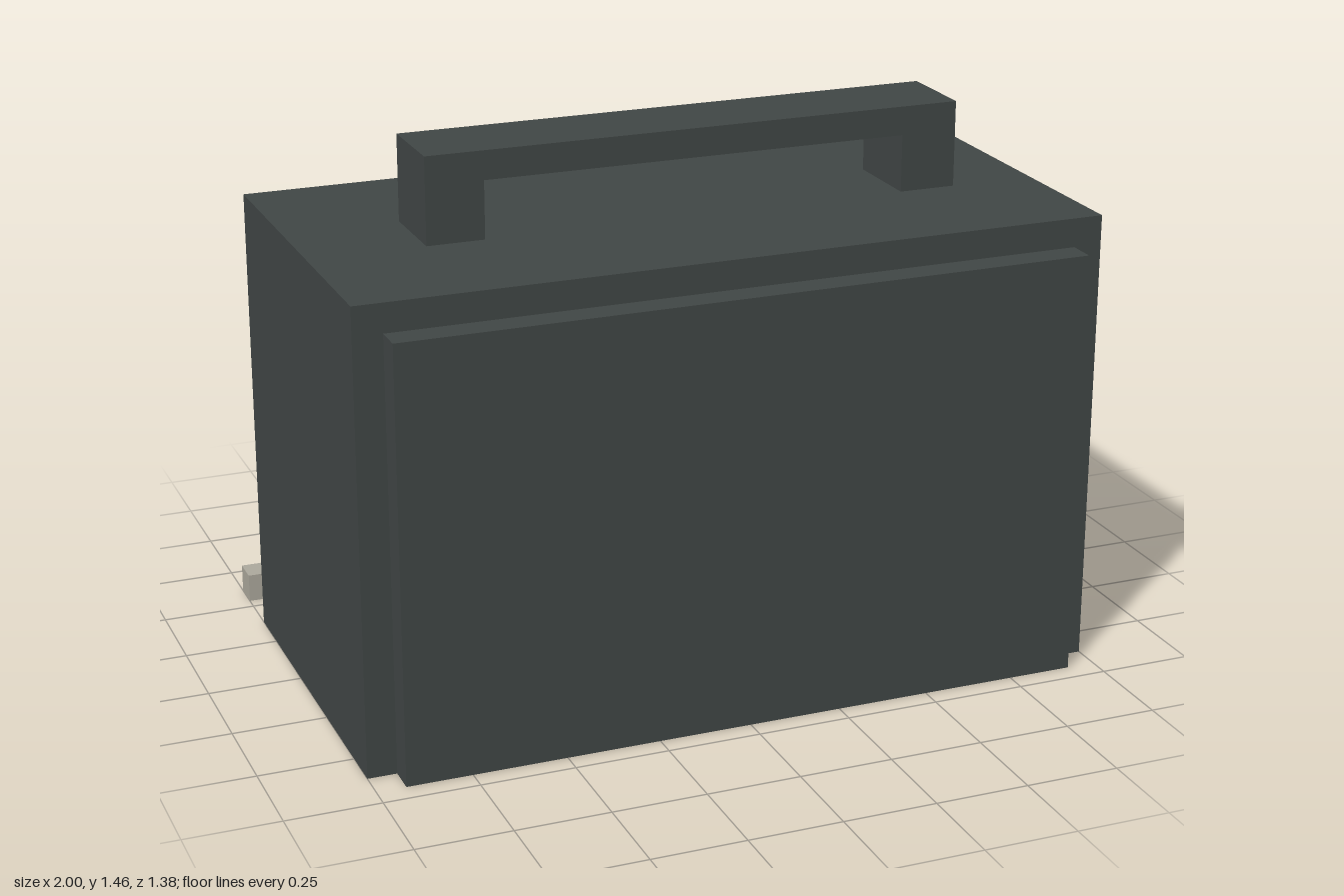
import * as THREE from 'three';

// All sizes are in whole cells; 26 cells span the model's 2 unit width.
const U = 1 / 13;

export function createModel() {
  const model = new THREE.Group();
  model.name = 'portableCase';

  const casing = new THREE.MeshStandardMaterial({ color: 0x414746 });
  casing.name = 'dark grey casing';
  const fitting = new THREE.MeshStandardMaterial({ color: 0xaeaa9e });
  fitting.name = 'warm grey fitting';

  const add = (name, geometry, material, parent = model) => {
    const mesh = new THREE.Mesh(geometry, material);
    mesh.name = name;
    parent.add(mesh);
    return mesh;
  };

  // Box between two corners given in cells
  const block = (name, [x0, y0, z0], [x1, y1, z1], material, parent) => {
    const geometry = new THREE.BoxGeometry((x1 - x0) * U, (y1 - y0) * U, (z1 - z0) * U);
    const mesh = add(name, geometry, material, parent);
    mesh.position.set((x0 + x1) / 2 * U, (y0 + y1) / 2 * U, (z0 + z1) / 2 * U);
    return mesh;
  };

  // Prism from a 2D outline in cells
  const prism = (points, depth) => new THREE.ExtrudeGeometry(
    new THREE.Shape(points.map(([x, y]) => new THREE.Vector2(x * U, y * U))),
    { depth: depth * U, bevelEnabled: false });

  // Main case with a raised panel on the front and back
  block('body', [-13, 0, -5], [13, 16, 8], casing);
  block('frontPanel', [-12, 0, 8], [12, 15, 9], casing);
  block('backPanel', [-12, 0, -6], [12, 15, -5], casing);

  // Bridge-shaped carrying handle
  add('handle', prism([
    [-9, 16], [-7, 16], [-7, 18], [8, 18], [8, 16], [10, 16], [10, 19], [-9, 19],
  ], 3), casing);

  // Socket on the back
  block('backSocket', [8, 10, -7], [10, 12, -6], fitting);

  // Power cord: drops from the back panel, then winds along the ground
  const cord = new THREE.Group();
  cord.name = 'powerCord';
  model.add(cord);
  block('cordPlug', [-8, 3, -7], [-7, 4, -6], fitting, cord);
  block('cordDrop', [-8, 0, -8], [-7, 4, -7], fitting, cord);

  // Outline is (x, -z), laid flat on the ground
  const trail = prism([
    [-8, 7], [-8, 8], [-9, 8], [-9, 9], [-12, 9], [-12, 8],
    [-13, 8], [-13, 7], [-11, 7], [-11, 8], [-10, 8], [-10, 7],
  ], 1);
  trail.rotateX(-Math.PI / 2);
  add('cordTrail', trail, fitting, cord);

  return model;
}
